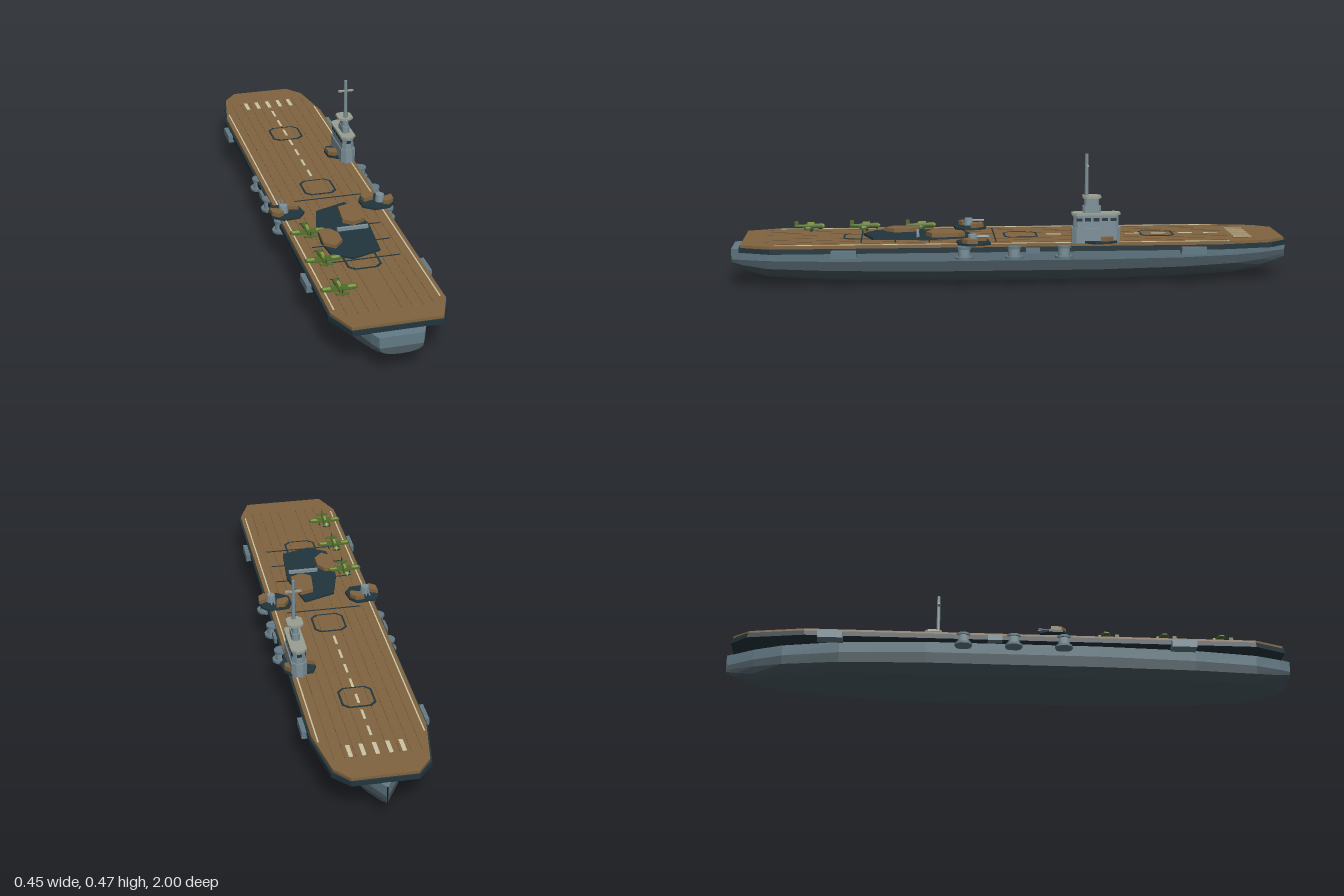
import * as THREE from 'three';

const paint = (name, color) => {
  const m = new THREE.MeshStandardMaterial({ color });
  m.name = name;
  return m;
};

export function createModel() {
  const ship = new THREE.Group();
  ship.name = 'aircraftCarrier';
  const M = {
    wood: paint('deck wood', 0x80643f),
    seam: paint('plank seam', 0x5f4a30),
    dark: paint('dark steel', 0x22353d),
    hull: paint('upper hull grey', 0x627a85),
    lower: paint('lower hull grey', 0x4a5a61),
    grey: paint('superstructure grey', 0x7d9099),
    pale: paint('platform grey', 0x9a9f92),
    line: paint('deck marking', 0xcbc4a4),
    green: paint('aircraft green', 0x4f6c2c),
    lime: paint('aircraft light green', 0x86a048),
  };

  const add = (name, geo, mat, x = 0, y = 0, z = 0, parent = ship) => {
    const mesh = new THREE.Mesh(geo, mat);
    mesh.name = name;
    mesh.position.set(x, y, z);
    parent.add(mesh);
    return mesh;
  };
  const box = (name, mat, w, h, d, x, y, z, parent) =>
    add(name, new THREE.BoxGeometry(w, h, d), mat, x, y, z, parent);
  const cyl = (name, mat, r0, r1, h, n, x, y, z, parent) =>
    add(name, new THREE.CylinderGeometry(r0, r1, h, n).toNonIndexed(), mat, x, y, z, parent);
  // Horizontal slab from an [x, z] outline, with optional hole
  const slab = (name, mat, pts, y0, y1, parent, hole) => {
    const vec = (list) => list.map(([x, z]) => new THREE.Vector2(x, -z));
    const shape = new THREE.Shape(vec(pts));
    if (hole) shape.holes.push(new THREE.Path(vec(hole)));
    const geo = new THREE.ExtrudeGeometry(shape, { depth: y1 - y0, bevelEnabled: false });
    geo.rotateX(-Math.PI / 2);
    return add(name, geo, mat, 0, y0, 0, parent);
  };
  const octagon = (cx, cz, w, d, c) => [
    [cx - w + c, cz - d], [cx + w - c, cz - d], [cx + w, cz - d + c], [cx + w, cz + d - c],
    [cx + w - c, cz + d], [cx - w + c, cz + d], [cx - w, cz + d - c], [cx - w, cz - d + c]];

  const CX = -0.005;

  // Hull: stations [z, half width, keel height], stern to bow
  const stations = [
    [1, 0, 0.066], [1, 0.074, 0.066], [0.96, 0.092, 0.045], [0.87, 0.122, 0.02], [0.65, 0.15, 0.008],
    [0.3, 0.166, 0], [-0.3, 0.166, 0], [-0.6, 0.146, 0.007], [-0.8, 0.104, 0.016],
    [-0.9, 0.062, 0.028], [-0.96, 0.026, 0.045], [-1, 0.002, 0.068]];
  const loft = (rows) => {
    const pos = [];
    const point = ([z, hw, keel], [wide, f, top], s) =>
      [s * hw * wide, top || keel + (0.093 - keel) * f, z];
    for (const s of [1, -1]) {
      for (let i = 0; i < stations.length - 1; i++) {
        for (let j = 0; j < rows.length - 1; j++) {
          const a = point(stations[i], rows[j], s), b = point(stations[i], rows[j + 1], s);
          const c = point(stations[i + 1], rows[j + 1], s), d = point(stations[i + 1], rows[j], s);
          const tris = s > 0 ? [a, b, c, a, c, d] : [a, c, b, a, d, c];
          tris.forEach((p) => pos.push(...p));
        }
      }
    }
    const geo = new THREE.BufferGeometry();
    geo.setAttribute('position', new THREE.Float32BufferAttribute(pos, 3));
    geo.computeVertexNormals();
    return geo;
  };
  add('upperHull', loft([[0, 0, 0.131], [1, 0, 0.131], [0.975, 1, 0]]), M.hull, CX);
  add('lowerHull', loft([[0.975, 1], [0.94, 0.6], [0.74, 0.27], [0.42, 0.06], [0, 0]]), M.lower, CX);

  // Flight deck: dark steel slab under a planked wooden top
  const deckOutline = (g) => {
    const half = [[0.11, -0.97 - g], [0.158 + g, -0.91 - g], [0.192 + g, -0.72], [0.192 + g, 0.855], [0.15, 0.96 + g]];
    return [...half.map(([x, z]) => [x + CX, z]), ...half.reverse().map(([x, z]) => [CX - x, z])];
  };
  slab('deckStructure', M.dark, deckOutline(0.006), 0.13, 0.147);
  slab('woodenDeck', M.wood, deckOutline(0), 0.147, 0.157);
  for (let i = -4; i <= 4; i++) {
    if (i) box('plankSeam', M.seam, 0.001, 0.001, 1.74, CX + i * 0.036, 0.157, 0.01);
  }

  // Painted markings
  const mark = (name, mat, w, d, x, z) => box(name, mat, w, 0.002, d, x, 0.1575, z);
  for (const s of [-1, 1]) mark('edgeLine', M.line, 0.005, 1.6, CX + s * 0.176, 0.04);
  for (let i = 0; i < 7; i++) mark('centreDash', M.line, 0.009, 0.054, CX, -0.725 + i * 0.0955);
  for (let i = -2; i <= 2; i++) mark('bowStripe', M.line, 0.014, 0.064, CX + i * 0.044, -0.825);
  for (const z of [0.065, 0.3, 0.42, 0.54]) mark('arrestorWire', M.dark, 0.275, 0.005, CX, z);
  for (const z of [-0.525, -0.03, 0.545]) {
    slab('elevatorOutline', M.dark, octagon(CX, z, 0.059, 0.061, 0.02), 0.156, 0.1585, ship,
      octagon(CX, z, 0.052, 0.054, 0.018));
  }

  // Large deck breach with lifted planks and a beam
  slab('deckBreach', M.dark, [[-0.063, 0.17], [0.053, 0.127], [0.09, 0.31], [0.074, 0.5],
    [-0.03, 0.535], [-0.095, 0.49], [-0.106, 0.4], [-0.095, 0.29]], 0.157, 0.165);
  slab('liftedPlanks', M.wood, [[0.012, 0.185], [0.06, 0.172], [0.078, 0.2], [0.079, 0.29],
    [0.035, 0.31], [0.002, 0.285]], 0.165, 0.18);
  slab('liftedPlanks', M.wood, [[-0.1, 0.33], [-0.06, 0.335], [-0.038, 0.37], [-0.038, 0.425],
    [-0.07, 0.46], [-0.106, 0.43]], 0.165, 0.178);
  box('exposedBeam', M.grey, 0.11, 0.012, 0.01, 0.022, 0.172, 0.34);

  // Small breaches: dark base, two wooden chunks
  const breach = (cx, cz, s) => {
    const g = new THREE.Group();
    g.name = 'smallBreach';
    g.position.set(cx, 0, cz);
    g.scale.x = 1;
    ship.add(g);
    slab('breachBase', M.dark, [[-0.045, -0.052], [0.03, -0.058], [0.052, -0.03], [0.06, 0.02],
      [0.035, 0.055], [-0.02, 0.06], [-0.058, 0.03], [-0.06, -0.02]], 0.157, 0.165, g);
    slab('woodChunk', M.wood, [[0.0, -0.045], [0.03, -0.048], [0.05, -0.02], [0.045, 0.0],
      [0.008, -0.01]].map(([x, z]) => [x * s, z]), 0.165, 0.18, g);
    slab('woodChunk', M.wood, [[-0.058, -0.012], [-0.022, 0.004], [-0.015, 0.03], [-0.035, 0.042],
      [-0.056, 0.025]].map(([x, z]) => [x * s, z]), 0.165, 0.18, g);
    return g;
  };
  for (const s of [-1, 1]) {
    const g = breach(s * 0.165, 0.145, -s);
    cyl('gunTurret', M.grey, 0.015, 0.018, 0.026, 10, s * 0.012, 0.179, 0.005, g);
    for (const dx of [-0.006, 0.006]) {
      const barrel = cyl('gunBarrel', M.grey, 0.003, 0.003, 0.045, 6, s * 0.012 + dx, 0.184, -0.03, g);
      barrel.rotation.x = Math.PI / 2;
    }
  }
  breach(0.156, -0.3, 1);

  // Side galleries and gun sponsons on both sides
  for (const s of [-1, 1]) {
    for (const z of [-0.63, 0.6]) box('sideGallery', M.hull, 0.045, 0.026, 0.088, CX + s * 0.192, 0.129, z);
    box('sideGallery', M.hull, 0.03, 0.02, 0.05, CX + s * 0.193, 0.135, -0.06);
    for (const z of [-0.17, 0.005, 0.18]) {
      cyl('sponsonFloor', M.hull, 0.031, 0.031, 0.008, 10, s * 0.194, 0.112, z);
      cyl('sponsonColumn', M.grey, 0.021, 0.021, 0.03, 10, s * 0.193, 0.13, z);
      cyl('sponsonRim', M.hull, 0.026, 0.026, 0.008, 10, s * 0.193, 0.148, z);
    }
  }

  // Island superstructure
  const ix = 0.161;
  slab('islandBase', M.grey, octagon(ix, -0.285, 0.027, 0.086, 0.016), 0.157, 0.21);
  slab('islandBridge', M.grey, octagon(ix, -0.285, 0.023, 0.08, 0.013), 0.21, 0.256);
  slab('islandRoof', M.pale, octagon(ix, -0.285, 0.028, 0.086, 0.015), 0.255, 0.263);
  for (const s of [-1, 1]) {
    for (let i = 0; i < 5; i++) {
      box('bridgeWindow', M.dark, 0.004, 0.011, 0.02, ix + s * 0.0225, 0.24, -0.345 + i * 0.03);
    }
    box('bridgeEndWindow', M.dark, 0.016, 0.011, 0.004, ix, 0.24, -0.285 + s * 0.0795);
  }
  slab('islandTower', M.grey, octagon(ix, -0.27, 0.014, 0.032, 0.007), 0.262, 0.287);
  slab('islandUpperTower', M.grey, octagon(ix, -0.27, 0.011, 0.026, 0.006), 0.287, 0.316);
  slab('lookoutPlatform', M.pale, octagon(ix, -0.27, 0.028, 0.032, 0.012), 0.314, 0.323);
  cyl('mast', M.grey, 0.006, 0.007, 0.15, 8, ix, 0.396, -0.252);
  box('mastYard', M.pale, 0.057, 0.006, 0.008, ix, 0.43, -0.252);

  // Parked aircraft, nose toward the bow
  for (const z of [0.33, 0.535, 0.737]) {
    const plane = new THREE.Group();
    plane.name = 'aircraft';
    plane.position.set(-0.135, 0.175, z);
    ship.add(plane);
    const body = cyl('fuselage', M.green, 0.011, 0.005, 0.1, 8, 0, 0, 0, plane);
    body.rotation.x = -Math.PI / 2;
    const nose = cyl('nose', M.lime, 0.003, 0.011, 0.01, 8, 0, 0, -0.054, plane);
    nose.rotation.x = -Math.PI / 2;
    slab('wing', M.green, [[-0.061, -0.008], [-0.04, -0.016], [0.04, -0.016], [0.061, -0.008],
      [0.061, 0.008], [0.04, 0.016], [-0.04, 0.016], [-0.061, 0.008]], -0.004, 0.001, plane);
    for (const s of [-1, 1]) {
      box('wingPanel', M.lime, 0.026, 0.002, 0.014, s * 0.042, 0.0015, 0, plane);
      cyl('wheel', M.dark, 0.006, 0.006, 0.004, 8, s * 0.02, -0.012, -0.01, plane).rotation.z = Math.PI / 2;
    }
    box('tailplane', M.green, 0.042, 0.003, 0.014, 0, 0.002, 0.044, plane);
    box('tailFin', M.green, 0.003, 0.018, 0.014, 0, 0.011, 0.045, plane);
    box('canopy', M.lime, 0.009, 0.008, 0.026, 0, 0.01, -0.008, plane);
    box('propeller', M.dark, 0.03, 0.003, 0.002, 0, 0, -0.058, plane);
  }
  return ship;
}
